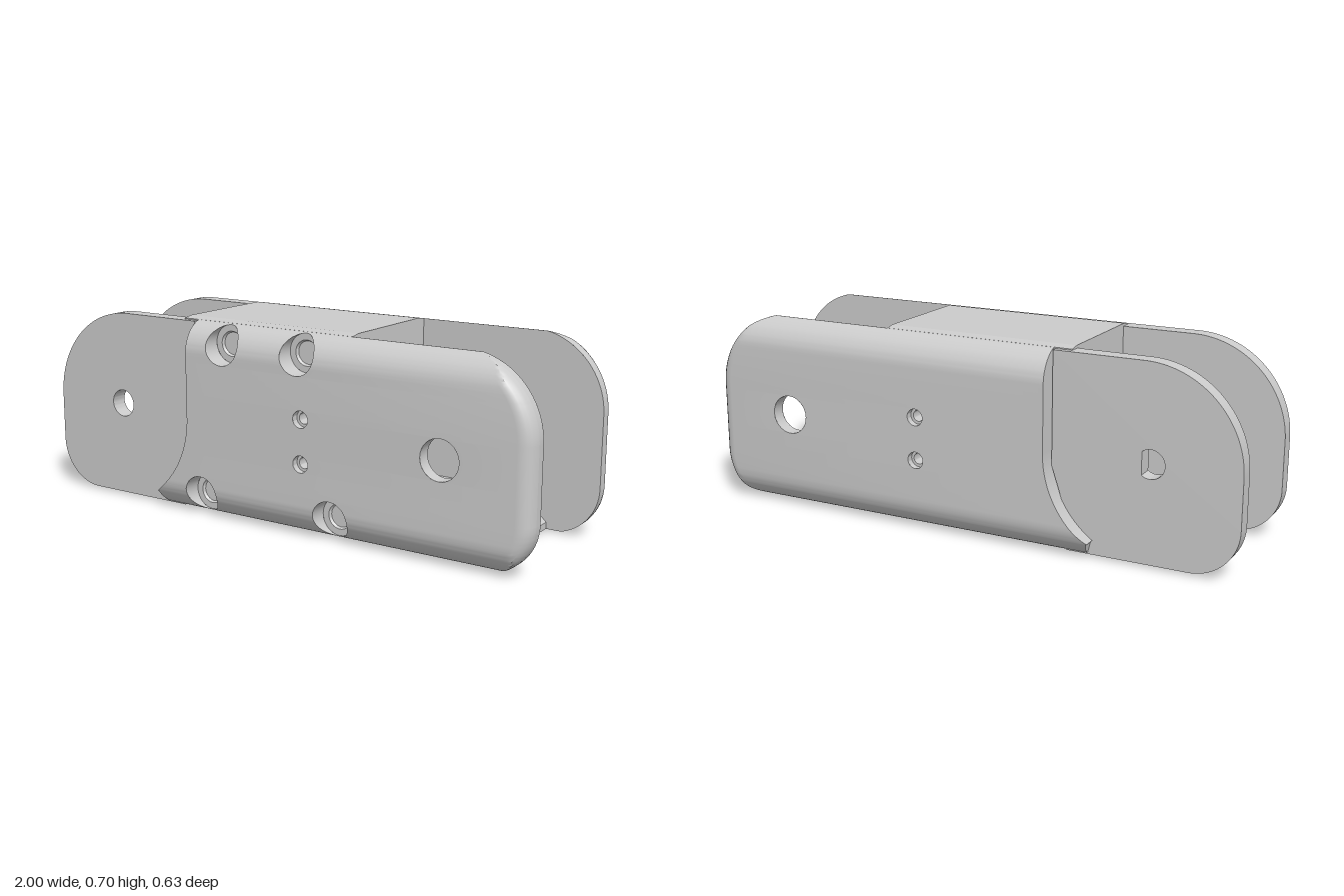
import * as THREE from 'three';
import { toCreasedNormals } from 'three/addons/utils/BufferGeometryUtils.js';

const material = new THREE.MeshStandardMaterial({ color: 0xcccccc, side: THREE.DoubleSide });
const H = 0.705, FILLET = 0.115, INNER = 0.235, OUTER = 0.315;
const Y0 = 0.006, Y1 = 0.699;
const arc = (r, d) => Math.sqrt(Math.max(0, r * r - d * d));

// Outline of the outer cover: curved step on the left, rounded end on the right
const leftX = y => y > 0.355 ? -0.335 : y < 0.06 ? -0.475 - 0.25 * (y - Y0) : -0.69 + arc(0.355, y - 0.355);
const rightX = y => y > 0.435 ? 0.73 + arc(0.27, y - 0.435) : y < 0.18 ? 0.82 + arc(0.18, y - 0.18) : 1;

// Outer surface height with long top and bottom fillets and a smaller end fillet
function coverZ(x, y) {
  const dy = Math.min(y, H - y), dx = rightX(y) - x;
  const zy = dy < FILLET ? 0.2 + arc(FILLET, FILLET - dy) : OUTER;
  const ze = dx < 0.05 ? 0.265 + arc(0.05, 0.05 - dx) : OUTER;
  return Math.max(INNER, Math.min(zy, ze));
}

function mesh(name, geometry) {
  const m = new THREE.Mesh(geometry, material);
  m.name = name;
  return m;
}

function soup(triangles, crease = 0.6) {
  const g = new THREE.BufferGeometry();
  g.setAttribute('position', new THREE.Float32BufferAttribute(triangles.flat(), 3));
  return toCreasedNormals(g, crease);
}

const quad = (out, a, b, c, d) => out.push(...a, ...b, ...c, ...a, ...c, ...d);

// Row positions, denser in the fillets and at every hole
function rowsFor(holes) {
  const ys = [Y0, Y1, 0.06, 0.355, 0.435, 0.18];
  for (let i = 0; i <= 40; i++) ys.push(Y0 + (Y1 - Y0) * i / 40);
  for (let i = 1; i <= 12; i++) {
    const d = FILLET * (1 - Math.cos(i / 12 * Math.PI / 2));
    ys.push(d, H - d);
  }
  for (const [, cy, r] of holes)
    for (let i = 0; i <= 14; i++) ys.push(cy - r * Math.cos(i / 14 * Math.PI));
  return ys.filter(y => y >= Y0 && y <= Y1).sort((a, b) => a - b)
    .filter((y, i, all) => i === 0 || y - all[i - 1] > 1e-5);
}

// Cover surface filled row by row between its outline and the round holes
function coverGeometry(holes) {
  const out = [], rows = rowsFor(holes);
  const p = (x, y) => [x, y, coverZ(x, y)];
  for (let k = 0; k + 1 < rows.length; k++) {
    const y0 = rows[k], y1 = rows[k + 1], ym = (y0 + y1) / 2;
    const active = holes.filter(([, cy, r]) => Math.abs(ym - cy) < r).sort((a, b) => a[0] - b[0]);
    const xs = y => [leftX(y),
      ...active.flatMap(([cx, cy, r]) => [cx - arc(r, y - cy), cx + arc(r, y - cy)]),
      ...[0.05, 0.035, 0.02, 0.01, 0.003, 0].map(d => rightX(y) - d)];
    const a = xs(y0), b = xs(y1);
    for (let i = 0; i + 1 < a.length; i++) {
      if (i % 2 && i < 2 * active.length) continue;
      quad(out, p(a[i], y0), p(a[i + 1], y0), p(b[i + 1], y1), p(b[i], y1));
    }
    // end rim and step wall
    const rim = (f, z, s) => {
      const u = f(s ? y0 : y1), v = f(s ? y1 : y0), yu = s ? y0 : y1, yv = s ? y1 : y0;
      quad(out, [u, yu, z], [v, yv, z], p(v, yv), p(u, yu));
    };
    rim(rightX, INNER, false);
    rim(leftX, INNER, true);
  }
  return soup(out);
}

// Wall of a round pocket following the curved cover
function pocketWall(cx, cy, r, z) {
  const out = [], n = 40;
  const at = i => [cx + r * Math.cos(i / n * 2 * Math.PI), cy + r * Math.sin(i / n * 2 * Math.PI)];
  for (let i = 0; i < n; i++) {
    const a = at(i), b = at(i + 1);
    quad(out, [...b, z], [...a, z], [...a, coverZ(...a)], [...b, coverZ(...b)]);
  }
  return soup(out);
}

// Stepped bore along z from [radius, z] points
function bore(name, x, y, points) {
  const g = new THREE.LatheGeometry(points.map(p => new THREE.Vector2(...p)), 32);
  g.rotateX(Math.PI / 2);
  const m = mesh(name, toCreasedNormals(g, 0.5));
  m.position.set(x, y, 0);
  return m;
}

const polygon = pts => new THREE.Shape(pts.map(p => new THREE.Vector2(...p)));
const circle = (x, y, r) => new THREE.Path().absarc(x, y, r, 0, Math.PI * 2, true);

function plate(shape, z, depth) {
  const g = new THREE.ExtrudeGeometry(shape, { depth, bevelEnabled: false, curveSegments: 24 });
  g.translate(0, 0, z);
  return toCreasedNormals(g, 0.5);
}

// Shape drawn in (-z, y), extruded along x
function alongX(shape, x, depth, steps = 1) {
  const g = new THREE.ExtrudeGeometry(shape, { depth, steps, bevelEnabled: false, curveSegments: 10 });
  g.rotateY(Math.PI / 2);
  g.translate(x, 0, 0);
  return g;
}

function side(front) {
  const group = new THREE.Group();
  group.name = front ? 'frontSide' : 'backSide';
  const bolts = front ? [[-0.18, 0.628], [0.135, 0.628], [-0.28, 0.08], [0.27, 0.08]] : [];
  const pins = [[0.155, 0.26], [0.155, 0.415]];
  const pivot = [0.685, 0.355];
  const holes = [[...pivot, 0.07], ...pins.map(p => [...p, 0.03]), ...bolts.map(p => [...p, 0.068])];
  group.add(mesh('outerCover', coverGeometry(holes)));

  // Bores
  group.add(bore('pivotBore', ...pivot, [[0.07, OUTER], [0.07, 0.265], [0.095, 0.265], [0.095, INNER]]));
  for (const p of pins)
    group.add(bore('pinHole', ...p, [[0.03, OUTER], [0.03, 0.29], [0.02, 0.29], [0.02, 0.24], [0, 0.24]]));
  for (const p of bolts) {
    group.add(mesh('boltPocket', pocketWall(...p, 0.068, 0.245)));
    group.add(bore('boltSeat', ...p, [[0.068, 0.245], [0.045, 0.245], [0.04, 0.235], [0.02, 0.215], [0.02, 0.18], [0, 0.18]]));
  }

  // Inner face of the fork arm
  const pts = [[0.3, Y0]];
  for (let i = 0; i <= 60; i++) {
    const y = Y0 + (Y1 - Y0) * (1 - Math.cos(i / 60 * Math.PI)) / 2;
    pts.push([rightX(y), y]);
  }
  pts.push([0.3, Y1]);
  const face = polygon(pts);
  face.holes.push(circle(...pivot, 0.095));
  if (front) for (const dx of [-0.13, 0.13]) for (const dy of [-0.11, 0.11]) {
    face.holes.push(circle(pivot[0] + dx, pivot[1] + dy, 0.02));
    group.add(bore('hornScrewHole', pivot[0] + dx, pivot[1] + dy, [[0.02, INNER], [0.02, 0.265], [0, 0.265]]));
  }
  const inner = new THREE.ShapeGeometry(face, 24);
  inner.translate(0, 0, INNER);
  group.add(mesh('armInnerFace', inner));

  // Thin rounded lug
  const lug = new THREE.Shape();
  lug.moveTo(-0.4, 0.01);
  lug.lineTo(-0.4, 0.12);
  lug.lineTo(-0.34, 0.3);
  lug.lineTo(-0.34, 0.695);
  lug.lineTo(-0.66, 0.695);
  lug.absarc(-0.66, 0.355, 0.34, Math.PI / 2, Math.PI, false);
  lug.lineTo(-1, 0.18);
  lug.absarc(-0.83, 0.18, 0.17, Math.PI, Math.PI * 1.5, false);
  const flat = Math.acos(0.6);
  lug.holes.push(front ? circle(-0.69, 0.355, 0.05)
    : new THREE.Path().absarc(-0.69, 0.355, 0.05, -flat, flat, true));
  group.add(mesh('lug', plate(lug, 0.195, 0.06)));

  // Stop pad and rail at the foot of the fork arm
  const start = front ? 0.44 : 0.67;
  const pad = polygon([[start, Y0], [0.81, Y0], [0.81, 0.03], [0.7, 0.13], [start, 0.13]]);
  group.add(mesh('stopPad', plate(pad, 0.157, 0.08)));
  const rail = polygon([[0.3, Y0], [start, Y0], [start, 0.13], [0.3, 0.13]]);
  group.add(mesh('lowerRail', plate(rail, 0.197, 0.04)));
  if (!front) group.scale.z = -1;
  return group;
}

function bodyGeometry() {
  const shape = polygon([[-0.2, 0], [0.2, 0], [INNER, Y0], [INNER, Y1], [0.2, H], [-0.2, H], [-INNER, Y1], [-INNER, Y0]]);
  const w = 0.195;
  shape.holes.push(polygon([[-w, 0.14], [-w, 0.18], [-w, 0.47], [-w, 0.51], [w, 0.51], [w, 0.47], [w, 0.18], [w, 0.14]]));
  shape.holes.push(polygon([[-0.12, 0.54], [-0.12, 0.58], [-0.06, 0.58], [-0.06, 0.54]]));
  const g = alongX(shape, -0.4, 0.71, 8);
  const p = g.attributes.position;
  // Flare the tunnel mouth and the cable funnel at the fork end
  for (let i = 0; i < p.count; i++) {
    const y = p.getY(i), z = p.getZ(i), az = Math.abs(z);
    if (p.getX(i) < 0.3) continue;
    if (az > 0.19 && az < 0.198 && y > 0.15 && y < 0.5) p.setZ(i, Math.sign(z) * 0.232);
    if (y > 0.53 && y < 0.6 && az < 0.15) {
      p.setZ(i, z > 0.09 ? 0.15 : 0.03);
      p.setY(i, y > 0.56 ? 0.61 : 0.52);
    }
  }
  g.computeVertexNormals();
  return g;
}

export function createModel() {
  const model = new THREE.Group();
  model.name = 'armLinkBracket';
  model.add(side(true), side(false), mesh('hollowBody', bodyGeometry()));

  // Plug halfway along the cable channel
  const plug = mesh('channelPlug', new THREE.BoxGeometry(0.1, 0.042, 0.062));
  plug.position.set(-0.05, 0.56, 0.09);
  model.add(plug);

  // Central pillar with filleted ends
  const c = new THREE.Shape();
  c.moveTo(-0.1, 0.138);
  c.lineTo(0.1, 0.138);
  c.quadraticCurveTo(0.06, 0.142, 0.06, 0.18);
  c.lineTo(0.06, 0.47);
  c.quadraticCurveTo(0.06, 0.508, 0.1, 0.512);
  c.lineTo(-0.1, 0.512);
  c.quadraticCurveTo(-0.06, 0.508, -0.06, 0.47);
  c.lineTo(-0.06, 0.18);
  c.quadraticCurveTo(-0.06, 0.142, -0.1, 0.138);
  model.add(mesh('centrePillar', toCreasedNormals(alongX(c, -0.1, 0.3), 0.5)));

  // Slotted tab under the fork
  const tab = polygon([[0.3, -0.16], [0.49, -0.16], [0.49, 0.16], [0.3, 0.16]]);
  const slot = new THREE.Path();
  slot.absarc(0.405, 0.095, 0.045, 0, Math.PI, false);
  slot.absarc(0.405, -0.005, 0.045, Math.PI, Math.PI * 2, false);
  tab.holes.push(slot);
  const tabGeometry = plate(tab, -0.117, 0.117);
  tabGeometry.rotateX(Math.PI / 2);
  model.add(mesh('slottedTab', tabGeometry));
  const lip = polygon([[0.3, 0.11], [0.345, 0.117], [0.31, 0.14], [0.3, 0.14]]);
  model.add(mesh('tabLip', plate(lip, -0.16, 0.32)));
  return model;
}
